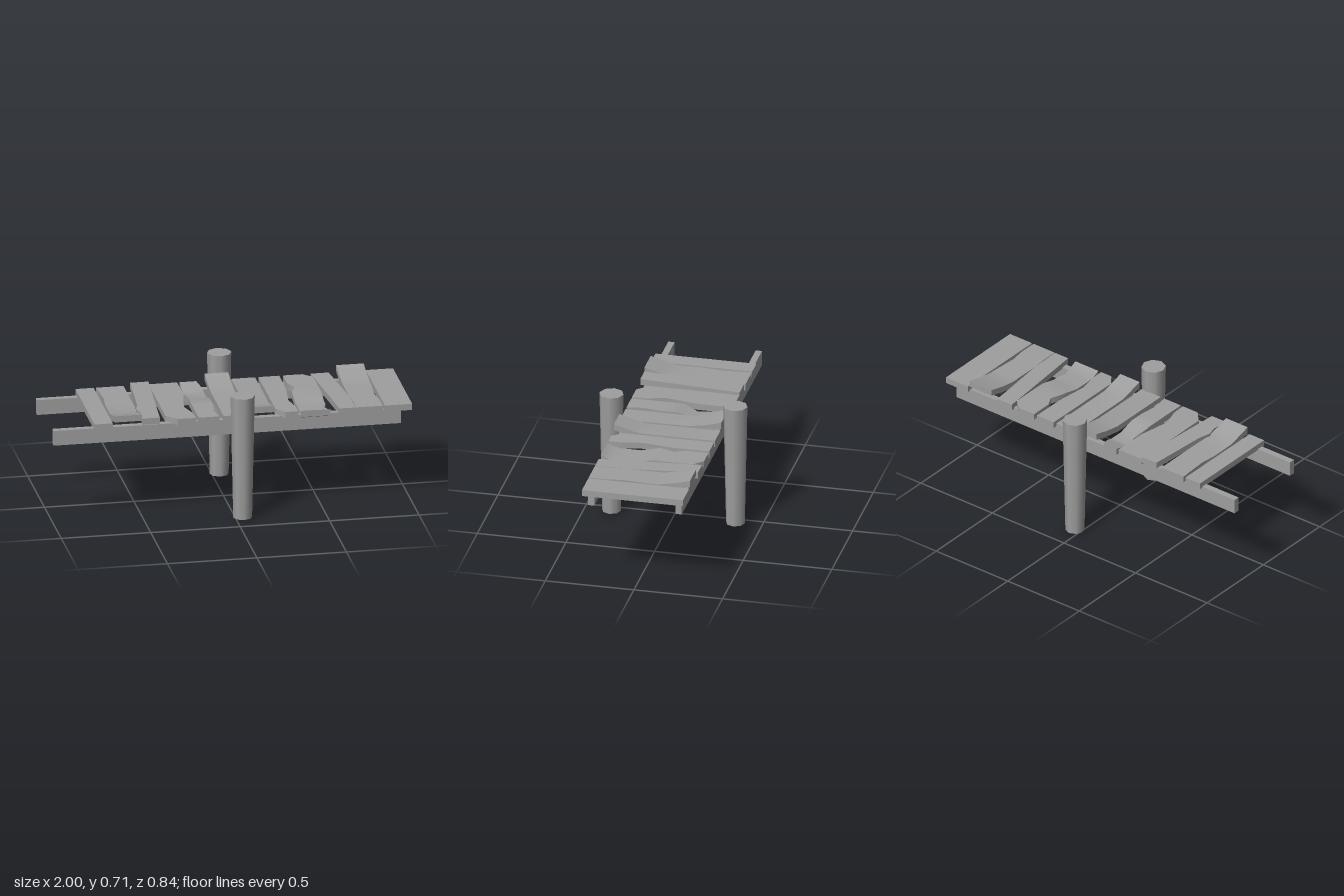
import * as THREE from 'three';
import { toCreasedNormals } from 'three/addons/utils/BufferGeometryUtils.js';

const BACK = -0.277, FRONT = 0.293, BOTTOM = 0.54, THICK = 0.036;

// Linear interpolation through [z, value] pairs
function sample(points, z) {
  if (z <= points[0][0]) return points[0][1];
  for (let i = 1; i < points.length; i++) {
    const [z0, v0] = points[i - 1], [z1, v1] = points[i];
    if (z <= z1) return v0 + (v1 - v0) * (z - z0) / (z1 - z0);
  }
  return points[points.length - 1][1];
}

// Height profiles along a plank
const FLAT = [[BACK, 0]];
const FRONT_UP = [[0.148, 0], [0.2, 0.014], [FRONT, 0.04]];
const BACK_UP = [[BACK, 0.04], [-0.18, 0.015], [-0.09, 0]];
const FRONT_SAG = [[0, 0], [0.1, -0.025], [0.24, -0.025], [FRONT, 0]];
const BACK_SAG = [[BACK, 0], [-0.18, -0.029], [-0.09, -0.029], [0, 0]];

// Plank lofted from rectangular sections with worn left and right edges
function plankGeometry(left, right, bend, lift) {
  const stations = [BACK, FRONT, ...[...left, ...right, ...bend].map(p => p[0])];
  const zs = [...new Set(stations)].sort((a, b) => a - b);
  const positions = [];
  const index = [];
  zs.forEach((z, i) => {
    const l = sample(left, z), r = sample(right, z);
    const y = BOTTOM + lift + sample(bend, z);
    positions.push(l, y + THICK, z, r, y + THICK, z, r, y, z, l, y, z);
    if (i === zs.length - 1) return;
    for (let k = 0; k < 4; k++) {
      const a = i * 4 + k, d = i * 4 + (k + 1) % 4;
      index.push(a, a + 4, d + 4, a, d + 4, d);
    }
  });
  const e = (zs.length - 1) * 4;
  index.push(0, 1, 2, 0, 2, 3, e, e + 2, e + 1, e, e + 3, e + 2);
  const geometry = new THREE.BufferGeometry();
  geometry.setAttribute('position', new THREE.Float32BufferAttribute(positions, 3));
  geometry.setIndex(index);
  return toCreasedNormals(geometry, 0.5);
}

// A straight edge at x
const edge = x => [[BACK, x]];

const PLANKS = [
  { left: edge(-0.775), right: edge(-0.673) },
  { left: [[BACK, -0.66], [-0.1, -0.65], [0, -0.661], [FRONT, -0.66]],
    right: [[BACK, -0.506], [0, -0.506], [FRONT, -0.51]], bend: FRONT_UP },
  { left: [[BACK, -0.47], [0.07, -0.496], [0.14, -0.514], [0.2, -0.5], [FRONT, -0.508]],
    right: [[BACK, -0.367], [FRONT, -0.41]], lift: 0.016 },
  { left: [[BACK, -0.365], [-0.15, -0.367], [0.23, -0.368], [FRONT, -0.31]],
    right: [[BACK, -0.207], [-0.08, -0.207], [0.11, -0.242], [0.21, -0.211], [FRONT, -0.207]] },
  { left: [[BACK, -0.193], [-0.17, -0.193], [-0.09, -0.171], [-0.01, -0.193]],
    right: [[BACK, -0.1], [-0.21, -0.077], [0.09, -0.077], [0.2, -0.091], [FRONT, -0.077]], bend: BACK_SAG },
  { left: edge(-0.053), right: edge(0.079), bend: BACK_UP },
  { left: edge(0.095), right: edge(0.229), bend: FRONT_UP },
  { left: [[0.23, 0.247], [FRONT, 0.292]],
    right: [[BACK, 0.364], [-0.08, 0.364], [0.11, 0.342], [0.21, 0.362], [FRONT, 0.364]] },
  { left: [[BACK, 0.384], [-0.15, 0.384], [-0.09, 0.414], [-0.01, 0.384]],
    right: [[BACK, 0.493], [-0.225, 0.544], [0.14, 0.544], [0.19, 0.529], [0.23, 0.544]], bend: FRONT_SAG },
  { left: [[BACK, 0.54], [FRONT, 0.594]],
    right: [[BACK, 0.64], [0.11, 0.682], [FRONT, 0.685]] },
  { left: [[BACK, 0.682], [0.11, 0.682], [0.2, 0.688], [FRONT, 0.688]],
    right: [[BACK, 0.836], [-0.06, 0.836], [0.1, 0.825], [0.19, 0.836]], bend: BACK_UP },
  { left: edge(0.847), right: edge(1) },
];

export function createModel() {
  const model = new THREE.Group();
  model.name = 'woodenWalkway';
  const wood = new THREE.MeshStandardMaterial({ color: 0x9e9e9e });
  const add = (name, geometry, x = 0, y = 0, z = 0) => {
    const mesh = new THREE.Mesh(geometry, wood);
    mesh.name = name;
    mesh.position.set(x, y, z);
    model.add(mesh);
  };

  // Deck boards
  PLANKS.forEach(({ left, right, bend = FLAT, lift = 0 }, i) =>
    add(`plank${i + 1}`, plankGeometry(left, right, bend, lift)));

  // Beams under the deck
  const beam = new THREE.BoxGeometry(1.942, 0.086, 0.036);
  add('frontBeam', beam, -0.029, 0.503, 0.255);
  add('backBeam', beam, -0.029, 0.503, -0.238);

  // Eight-sided posts, wider at the top
  const post = new THREE.CylinderGeometry(0.068, 0.053, 0.71, 8);
  add('frontPost', post, 0.042, 0.355, 0.35);
  add('backPost', post, 0.042, 0.355, -0.349);

  return model;
}
